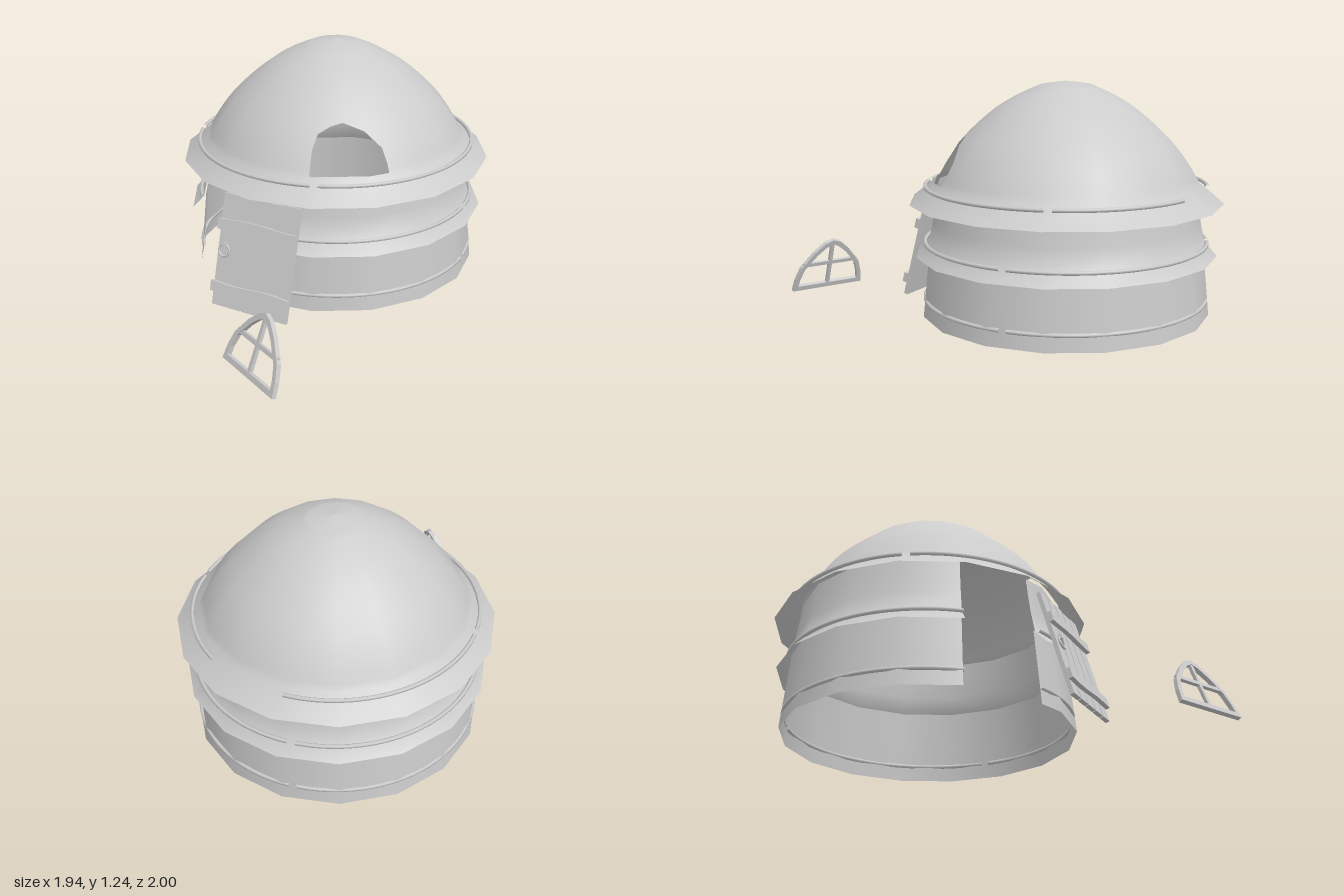
import * as THREE from 'three';

const SIDES = 16;
const rad = THREE.MathUtils.degToRad;
const mat = new THREE.MeshStandardMaterial({ color: 0xcccccc });
const thin = new THREE.MeshStandardMaterial({ color: 0xcccccc, side: THREE.DoubleSide });

function add(parent, name, geometry, material = mat) {
  const mesh = new THREE.Mesh(geometry, material);
  mesh.name = name;
  parent.add(mesh);
  return mesh;
}

// piecewise linear lookup in [key, value] pairs with rising keys
function lookup(pairs, k) {
  for (let i = 1; i < pairs.length; i++) {
    const [k0, v0] = pairs[i - 1], [k1, v1] = pairs[i];
    if (k <= k1) return v0 + (v1 - v0) * Math.max(0, (k - k0) / (k1 - k0));
  }
  return pairs[pairs.length - 1][1];
}

// angles between two limits, including every corner of the 16-sided plan
function columns(from, to, extra = []) {
  const step = 360 / SIDES, list = [from, to, ...extra];
  for (let a = Math.ceil(from / step) * step; a < to; a += step) list.push(a);
  return [...new Set(list)].sort((a, b) => a - b);
}

// smooth-shaded shell on the 16-sided plan; profile is [y, r] rising, clip limits y per angle
function shell(profile, angles, clip = () => [-9, 9]) {
  const pos = [], nor = [], idx = [];
  const rows = profile.map(p => p[0]).reverse(), n = rows.length;
  const half = Math.PI / SIDES;
  angles.forEach((deg, i) => {
    const a = rad(deg), [lo, hi] = clip(deg);
    const inFacet = ((a % (2 * half)) + 2 * half) % (2 * half) - half;
    const flat = Math.cos(half) / Math.cos(inFacet);
    rows.forEach((row, j) => {
      const y = Math.min(Math.max(row, lo), hi);
      const r = lookup(profile, y) * flat;
      pos.push(r * Math.sin(a), y, r * Math.cos(a));
      const y0 = Math.max(y - 0.015, rows[n - 1]), y1 = Math.min(y + 0.015, rows[0]);
      const slope = (lookup(profile, y1) - lookup(profile, y0)) / (y1 - y0);
      const v = new THREE.Vector3(Math.sin(a), -slope, Math.cos(a)).normalize();
      nor.push(v.x, v.y, v.z);
      if (i && j) {
        const d = i * n + j, c = d - n;
        idx.push(c - 1, c, d - 1, c, d, d - 1);
      }
    });
  });
  const g = new THREE.BufferGeometry();
  g.setAttribute('position', new THREE.Float32BufferAttribute(pos, 3));
  g.setAttribute('normal', new THREE.Float32BufferAttribute(nor, 3));
  g.setIndex(idx);
  return g;
}

// rope lying on a horizontal arc
function rope(parent, name, r, y, from, to) {
  const pts = [];
  for (let i = 0; i <= 24; i++) {
    const a = rad(from + (to - from) * i / 24);
    pts.push(new THREE.Vector3(r * Math.sin(a), y, r * Math.cos(a)));
  }
  add(parent, name, new THREE.TubeGeometry(new THREE.CatmullRomCurve3(pts), 48, 0.011, 6));
}

function buildHut() {
  const hut = new THREE.Group();
  hut.name = 'hut';
  hut.position.set(-0.13, 0, -0.16);

  // roof: flared rim, domed body, window hole cut in one sector
  const dome = new THREE.CatmullRomCurve3([[0.715, 0.705], [0.645, 0.82], [0.555, 0.935],
    [0.39, 1.085], [0.27, 1.16], [0.135, 1.222]].map(p => new THREE.Vector3(p[0], p[1], 0)));
  const roofProfile = [[0.605, 0.84], ...dome.getPoints(18).map(p => [p.y, p.x]), [1.24, 0]];
  const arch = [[43, 0.83], [45, 0.9], [51, 0.93], [57.5, 0.945], [68, 0.91], [75.5, 0.83], [76.5, 0.76]];
  const left = 43, right = 76.5, sill = 0.718;
  const holeCols = columns(left, right, arch.map(p => p[0]));
  add(hut, 'roof', shell(roofProfile, columns(right, left + 360)), thin);
  add(hut, 'roofAboveWindow', shell(roofProfile, holeCols, a => [lookup(arch, a), 9]), thin);
  add(hut, 'roofBelowWindow', shell(roofProfile, holeCols, () => [-9, sill]), thin);

  // walls, open at the doorway
  const wallCols = columns(11.25, 337.5);
  add(hut, 'lowerWall', shell([[0, 0.775], [0.2, 0.755], [0.4, 0.735]], wallCols), thin);
  add(hut, 'upperWall', shell([[0.325, 0.81], [0.39, 0.745], [0.5, 0.722], [0.61, 0.705], [0.7, 0.695]],
    wallCols), thin);

  // ropes
  [[-133, -45], [-42, 44], [47, 135], [138, 193]].forEach(([a, b]) => rope(hut, 'roofRope', 0.75, 0.69, a, b));
  [[11, 118], [121, 228], [231, 338]].forEach(([a, b]) => {
    rope(hut, 'upperWallRope', 0.755, 0.39, a, b);
    rope(hut, 'lowerWallRope', 0.758, 0.085, a, b);
  });
  return hut;
}

function buildDoor() {
  const door = new THREE.Group();
  door.name = 'door';
  door.position.set(0.255, 0.005, 0.668);
  door.rotation.set(rad(-15.5), rad(25), 0, 'YXZ');

  // planks with slightly uneven tops
  [0.59, 0.585, 0.595, 0.587, 0.592].forEach((h, i) => {
    add(door, 'plank', new THREE.BoxGeometry(0.082, h, 0.022)).position.set((i - 2) * 0.091, h / 2, 0);
  });

  // slightly warped cross battens
  [0.1, 0.435].forEach((y, k) => {
    const g = new THREE.BoxGeometry(0.462, 0.055, 0.022, 10, 1, 1), p = g.attributes.position;
    for (let i = 0; i < p.count; i++) p.setY(i, p.getY(i) + 0.005 * Math.sin(p.getX(i) * 16 + k * 2));
    g.computeVertexNormals();
    add(door, 'batten', g).position.set(0, y, 0.022);
  });

  // ring handle on a small stud
  add(door, 'handleRing', new THREE.TorusGeometry(0.031, 0.006, 8, 20)).position.set(-0.18, 0.295, 0.022);
  add(door, 'handleStud', new THREE.BoxGeometry(0.016, 0.02, 0.024)).position.set(-0.18, 0.326, 0.02);
  return door;
}

function buildWindowFrame() {
  const frame = new THREE.Group();
  frame.name = 'windowFrame';
  frame.position.set(0.758, 0.012, 0.985);
  frame.rotation.x = rad(-21);

  // pointed arch, outer and inner outline
  const outline = (pts, T) => {
    const mirrored = pts.slice(0, -1).reverse().map(([x, y]) => [-x, y]);
    return new T([...pts, ...mirrored].map(([x, y]) => new THREE.Vector2(x, y)));
  };
  const shape = outline([[0.212, 0], [0.202, 0.075], [0.178, 0.15], [0.105, 0.245], [0.045, 0.3], [0, 0.318]], THREE.Shape);
  shape.holes.push(outline([[0.184, 0.028], [0.177, 0.075], [0.155, 0.14], [0.088, 0.225], [0.036, 0.272], [0, 0.289]], THREE.Path));
  const arch = new THREE.ExtrudeGeometry(shape, { depth: 0.024, bevelEnabled: false });
  add(frame, 'frameArch', arch.translate(0, 0, -0.012));

  // glazing bars
  add(frame, 'verticalBar', new THREE.BoxGeometry(0.02, 0.28, 0.018)).position.set(0, 0.158, 0);
  add(frame, 'horizontalBar', new THREE.BoxGeometry(0.33, 0.022, 0.018)).position.set(0, 0.165, 0);
  return frame;
}

export function createModel() {
  const model = new THREE.Group();
  model.name = 'thatchedHut';
  model.add(buildHut(), buildDoor(), buildWindowFrame());
  return model;
}
